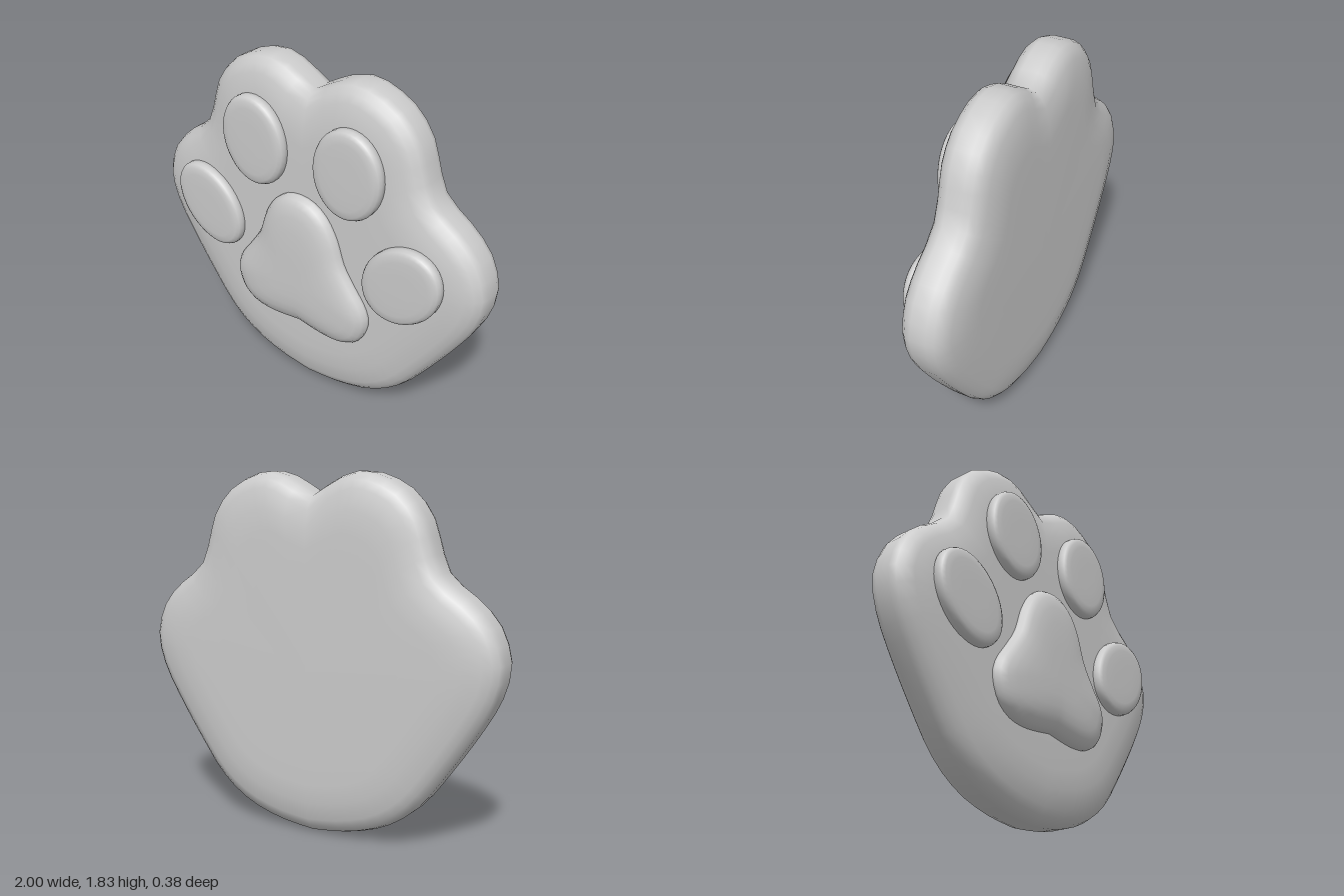
import * as THREE from 'three';

const material = new THREE.MeshStandardMaterial({ color: 0xcccccc });

// Counter-clockwise closed outline from its right half (bottom to top)
function mirroredOutline(half, n) {
  const curve = new THREE.SplineCurve(half.map(([x, y]) => new THREE.Vector2(x, y)));
  const right = curve.getSpacedPoints(n);
  const left = right.slice(1, -1).reverse().map((p) => new THREE.Vector2(-p.x, p.y));
  return [...right, ...left];
}

function ellipseOutline(x, y, rx, ry, tilt, n = 40) {
  return new THREE.EllipseCurve(x, y, rx, ry, 0, Math.PI * 2, false, tilt).getPoints(n).slice(0, n);
}

// Smooth cushion: each layer is [inset, scale about centre, z], from back to front
function cushion(name, outline, [cx, cy], layers) {
  const n = outline.length;
  const pos = [], index = [];
  for (const [inset, scale, z] of layers) {
    outline.forEach((p, i) => {
      const t = outline[(i + 1) % n].clone().sub(outline[(i + n - 1) % n]).normalize();
      const x = p.x - t.y * inset, y = p.y + t.x * inset;
      pos.push(cx + (x - cx) * scale, cy + (y - cy) * scale, z);
    });
  }
  const last = (layers.length - 1) * n;
  const back = layers.length * n, front = back + 1;
  pos.push(cx, cy, layers[0][2], cx, cy, layers[layers.length - 1][2]);
  for (let i = 0; i < n; i++) {
    const j = (i + 1) % n;
    for (let r = 0; r < last; r += n) {
      index.push(r + i, r + j, r + n + j, r + i, r + n + j, r + n + i);
    }
    index.push(back, j, i, front, last + i, last + j);
  }
  const geometry = new THREE.BufferGeometry();
  geometry.setAttribute('position', new THREE.Float32BufferAttribute(pos, 3));
  geometry.setIndex(index);
  geometry.computeVertexNormals();
  const mesh = new THREE.Mesh(geometry, material);
  mesh.name = name;
  return mesh;
}

export function createModel() {
  const group = new THREE.Group();
  group.name = 'paw';

  // Thick paw body with two top lobes and two side lobes
  const bodyHalf = [
    [0, 0], [0.2, 0.025], [0.4, 0.09], [0.57, 0.21], [0.72, 0.4], [0.87, 0.62], [0.96, 0.78],
    [1, 0.93], [0.98, 1.05], [0.93, 1.15], [0.84, 1.24], [0.74, 1.31], [0.68, 1.37],
    [0.64, 1.48], [0.6, 1.61], [0.51, 1.73], [0.39, 1.8], [0.26, 1.83], [0.14, 1.8],
    [0.06, 1.755], [0, 1.72],
  ];
  const side = [
    [0.14, 0.6, 0.15], [0.12, 0.8, 0.149], [0.12, 0.93, 0.144], [0.08, 1, 0.124],
    [0.04, 1, 0.102], [0.012, 1, 0.075], [0, 1, 0.04],
  ];
  const mid = -0.04;
  const bodyLayers = [
    ...side.map(([d, s, z]) => [d, s, mid - z]),
    ...side.map(([d, s, z]) => [d, s, mid + z]).reverse(),
  ];
  group.add(cushion('body', mirroredOutline(bodyHalf, 34), [0, 0.85], bodyLayers));

  // Large central pad
  const palmHalf = [
    [0, 0.435], [0.1, 0.42], [0.2, 0.413], [0.3, 0.43], [0.38, 0.49], [0.42, 0.6], [0.4, 0.69],
    [0.33, 0.79], [0.265, 0.89], [0.22, 1.02], [0.16, 1.12], [0.08, 1.18], [0, 1.195],
  ];
  group.add(cushion('palmPad', mirroredOutline(palmHalf, 30), [0, 0.7], [
    [0.02, 1, 0.08], [0, 1, 0.105], [0, 1, 0.125], [0.015, 1, 0.148], [0.045, 1, 0.168],
    [0.06, 0.9, 0.179], [0.06, 0.7, 0.187], [0.06, 0.4, 0.19],
  ]));

  // Four toe pads
  const toeLayers = [
    [0.02, 1, 0.08], [0, 1, 0.105], [0, 1, 0.13], [0.008, 1, 0.146], [0.025, 1, 0.156],
    [0.04, 0.9, 0.16], [0.04, 0.5, 0.161],
  ];
  for (const [sideName, s] of [['left', 1], ['right', -1]]) {
    const inner = ellipseOutline(s * 0.283, 1.41, 0.195, 0.236, s * -0.12);
    const outer = ellipseOutline(s * 0.605, 0.925, 0.245, 0.192, s * 0.82);
    group.add(cushion(sideName + 'InnerToePad', inner, [s * 0.283, 1.41], toeLayers));
    group.add(cushion(sideName + 'OuterToePad', outer, [s * 0.605, 0.925], toeLayers));
  }
  return group;
}
